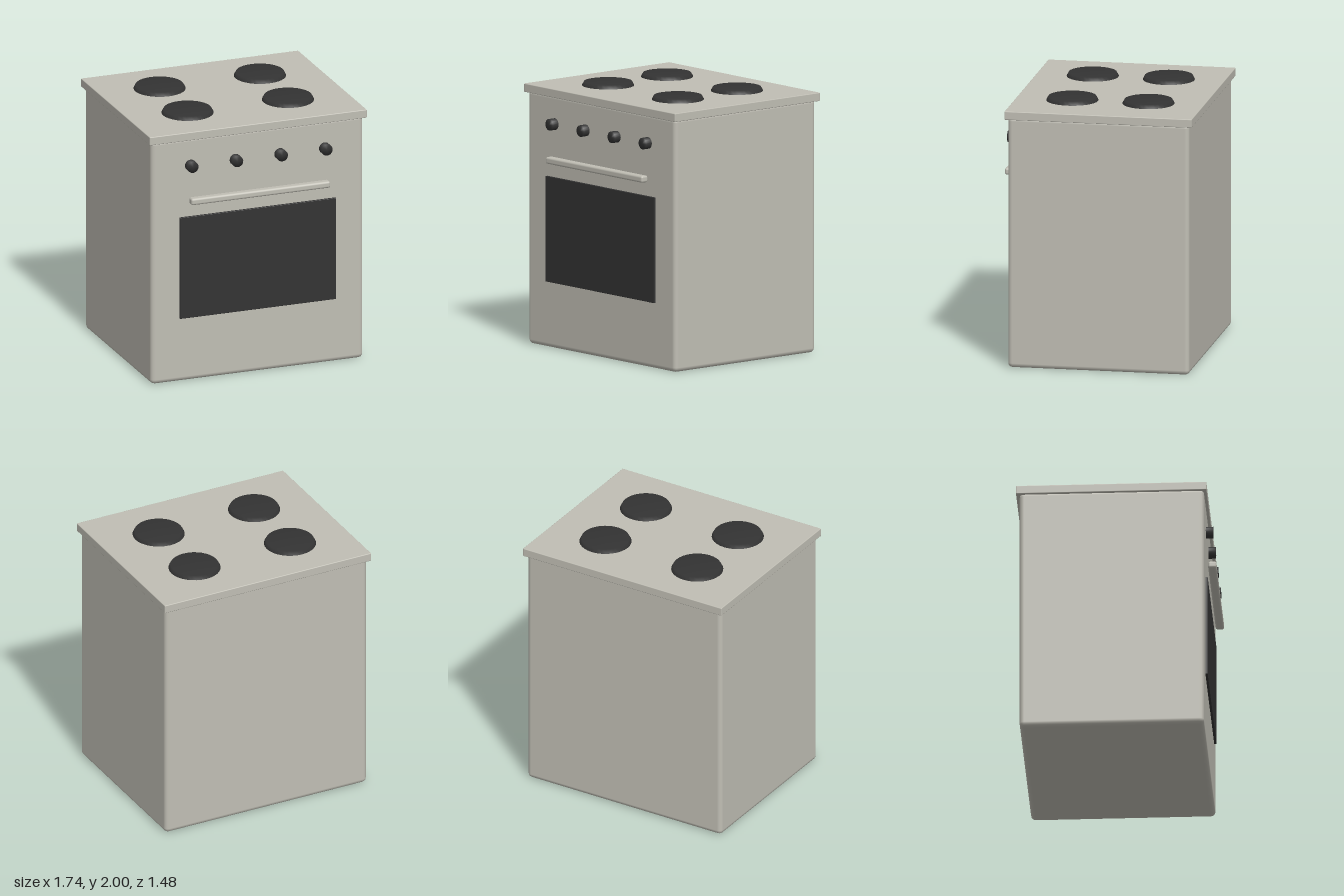
import * as THREE from 'three';
import { RoundedBoxGeometry } from 'three/addons/geometries/RoundedBoxGeometry.js';

export function createModel() {
  const model = new THREE.Group();
  model.name = 'stove';
  const enamel = new THREE.MeshStandardMaterial({ color: 0xc0beb4 });
  enamel.name = 'warm grey enamel';
  const black = new THREE.MeshStandardMaterial({ color: 0x333333 });
  black.name = 'charcoal';

  const add = (name, geometry, material, x, y, z) => {
    const mesh = new THREE.Mesh(geometry, material);
    mesh.name = name;
    mesh.position.set(x, y, z);
    model.add(mesh);
    return mesh;
  };
  // Rounded box given by its lower and upper limits
  const block = (name, material, [x0, y0, z0], [x1, y1, z1], radius) =>
    add(name, new RoundedBoxGeometry(x1 - x0, y1 - y0, z1 - z0, 2, radius), material,
      (x0 + x1) / 2, (y0 + y1) / 2, (z0 + z1) / 2);

  // Cabinet and overhanging cooktop
  block('cabinet', enamel, [-0.85, 0, -0.715], [0.85, 1.925, 0.665], 0.035);
  block('cooktop', enamel, [-0.87, 1.905, -0.74], [0.87, 1.97, 0.685], 0.006);

  // Oven window and handle bar
  block('ovenWindow', black, [-0.625, 0.5, 0.655], [0.625, 1.3, 0.682], 0.003);
  block('ovenHandle', enamel, [-0.557, 1.408, 0.68], [0.557, 1.46, 0.743], 0.016);

  // Burner plates with softly shaded bevelled rims
  const plate = [[0.195, 0], [0.195, 0.012], [0.18, 0.04], [0, 0.04]]
    .map(([r, y]) => new THREE.Vector2(r, y));
  const burner = new THREE.LatheGeometry(plate, 32);
  for (const x of [-0.402, 0.402])
    for (const z of [-0.322, 0.257]) add('burner', burner, black, x, 1.96, z);

  // Control knobs
  const dial = [[0.044, 0], [0.044, 0.062], [0, 0.062]]
    .map(([r, y]) => new THREE.Vector2(r, y));
  const knob = new THREE.LatheGeometry(dial, 20).rotateX(Math.PI / 2);
  for (const x of [-0.537, -0.179, 0.179, 0.537]) add('knob', knob, black, x, 1.703, 0.658);

  return model;
}
